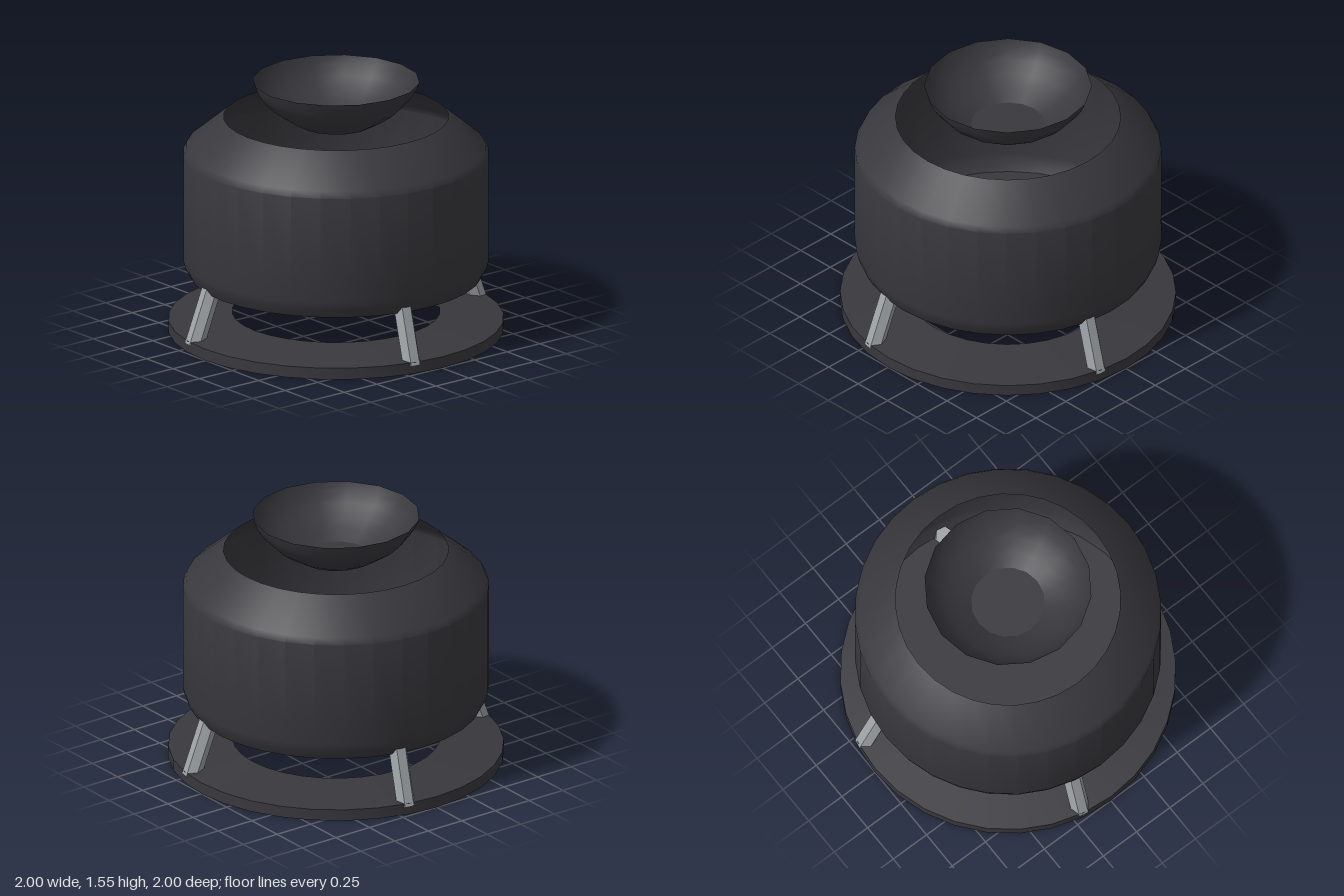
import * as THREE from 'three';
import { toCreasedNormals } from 'three/addons/utils/BufferGeometryUtils.js';

const darkMetal = new THREE.MeshStandardMaterial({
  name: 'dark metal', color: 0x39383d, side: THREE.DoubleSide,
});
const greyStrut = new THREE.MeshStandardMaterial({ name: 'grey strut', color: 0x9fa4a8 });

// Turned part from a [radius, height] profile running upwards on the outside
function turned(name, profile, sides) {
  const points = profile.map(([r, y]) => new THREE.Vector2(r, y));
  const geometry = toCreasedNormals(new THREE.LatheGeometry(points, sides), 0.48);
  const mesh = new THREE.Mesh(geometry, darkMetal);
  mesh.name = name;
  return mesh;
}

export function createModel() {
  const model = new THREE.Group();
  model.name = 'footedVessel';

  // Conical ring it stands on, tapering to a thin inner edge
  model.add(turned('baseRing', [
    [0.62, 0.108], [1, 0], [1, 0.07], [0.62, 0.11],
  ], 32));

  // Drum with chamfered bottom and sloping shoulder, open at the top
  model.add(turned('body', [
    [0, 0.345], [0.87, 0.345], [0.9, 0.4], [0.913, 0.45], [0.913, 1.1],
    [0.893, 1.14], [0.67, 1.325],
  ], 32));

  // Thin bowl with a flat floor, sitting in the mouth of the drum
  model.add(turned('bowl', [
    [0, 1.28], [0.22, 1.28], [0.3, 1.325], [0.38, 1.38],
    [0.44, 1.44], [0.48, 1.5], [0.5, 1.55],
  ], 16));

  // Four six-sided struts leaning inwards, slightly turned off the axes
  const foot = new THREE.Vector3(0, 0.035, 0.957);
  const head = new THREE.Vector3(0, 0.374, 0.839);
  const strutGeometry = new THREE.CylinderGeometry(0.058, 0.058, foot.distanceTo(head), 6)
    .rotateY(Math.PI / 6).toNonIndexed();
  strutGeometry.computeVertexNormals();
  for (let i = 0; i < 4; i++) {
    const leg = new THREE.Group();
    leg.name = 'leg' + (i + 1);
    const strut = new THREE.Mesh(strutGeometry, greyStrut);
    strut.name = 'strut';
    strut.position.copy(foot).add(head).multiplyScalar(0.5);
    strut.rotation.x = -Math.atan2(foot.z - head.z, head.y - foot.y);
    leg.add(strut);
    leg.rotation.y = -0.192 + i * Math.PI / 2;
    model.add(leg);
  }
  return model;
}
